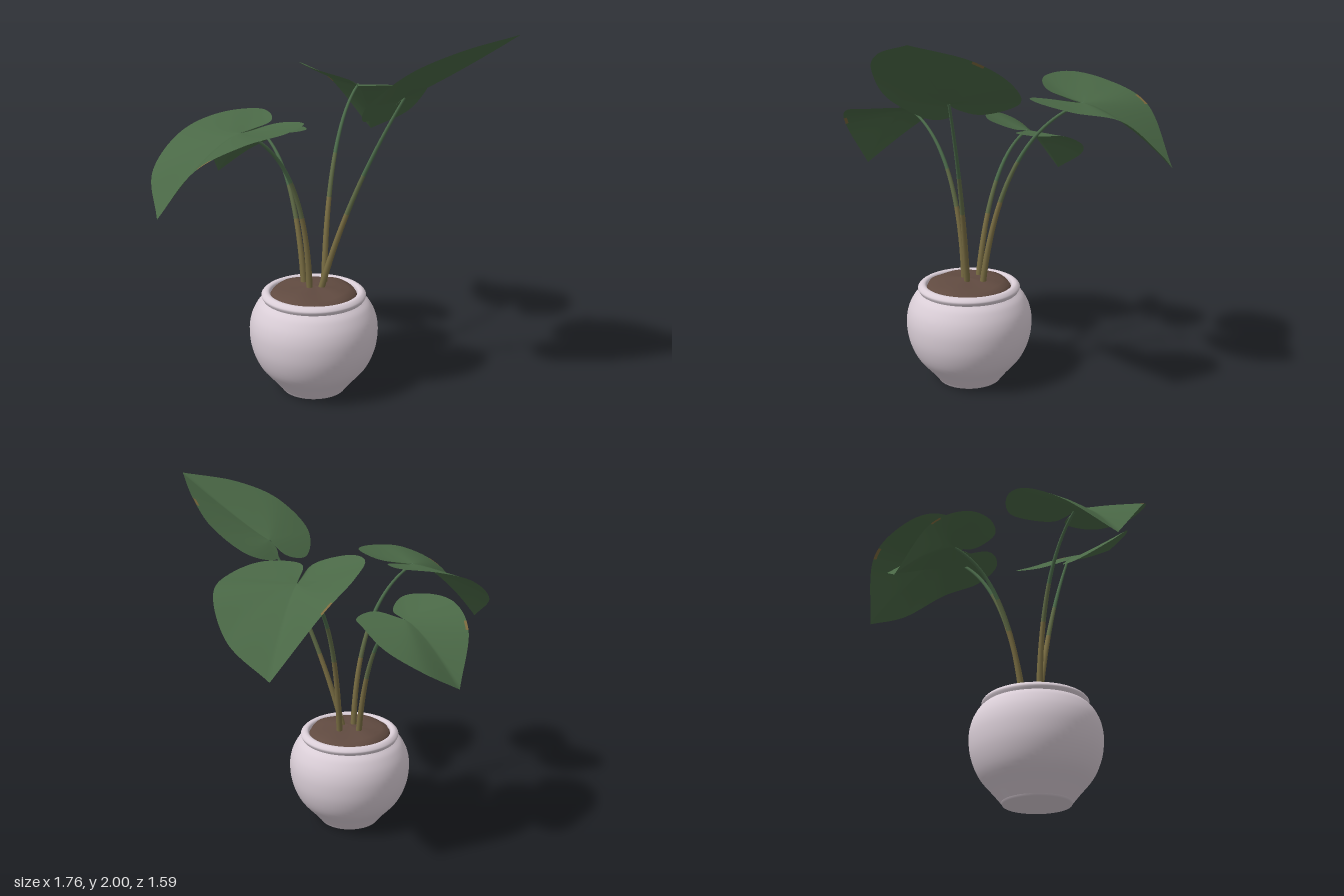
import * as THREE from 'three';

const mat = (name, color, side = THREE.FrontSide) => {
  const m = new THREE.MeshStandardMaterial({ color, side });
  m.name = name;
  return m;
};

// Each leaf: where the stem joins, compass heading of the midrib, tip [reach, height],
// then [reach, height] at five even angles from the tip round each lobe.
const PLANTS = [
  {
    name: 'backLeft', base: [0.03, 0.57, 0.13], lean: [0.06, 1.44, 0.03], at: [0.29, 1.61, -0.35],
    heading: -1.229, droop: 1.45, tip: [0.478, 1.26],
    right: [[0.44, 1.4], [0.415, 1.58], [0.385, 1.62], [0.355, 1.65], [0.275, 1.645]],
    left: [[0.42, 1.58], [0.355, 1.69], [0.34, 1.735], [0.295, 1.72], [0.19, 1.67]],
  },
  {
    name: 'backRight', base: [-0.08, 0.57, 0.12], lean: [-0.12, 1.27, 0.04], at: [-0.28, 1.37, -0.24],
    heading: -2.262, droop: 1.45, tip: [0.376, 1.08],
    right: [[0.355, 1.2], [0.315, 1.3], [0.268, 1.37], [0.255, 1.38], [0.19, 1.385]],
    left: [[0.33, 1.34], [0.285, 1.435], [0.255, 1.45], [0.22, 1.435], [0.11, 1.39]],
  },
  {
    name: 'frontRight', base: [-0.06, 0.57, 0.21], lean: [-0.08, 1.35, 0.23], at: [-0.43, 1.5, 0.41],
    heading: 2.737, droop: 1.5, tip: [0.457, 1.12],
    right: [[0.448, 1.3], [0.4, 1.465], [0.372, 1.54], [0.36, 1.56], [0.2, 1.535]],
    left: [[0.405, 1.4], [0.37, 1.515], [0.355, 1.55], [0.33, 1.565], [0.205, 1.54]],
  },
  {
    name: 'frontLeft', base: [0, 0.57, 0.21], lean: [0.14, 1.14, 0.27], at: [0.4, 1.66, 0.41],
    heading: 0.574, droop: 1.12, tip: [0.571, 2],
    right: [[0.415, 1.93], [0.37, 1.83], [0.345, 1.66], [0.215, 1.55], [0.1, 1.58]],
    left: [[0.415, 1.91], [0.38, 1.79], [0.345, 1.66], [0.17, 1.59], [0.05, 1.63]],
  },
];
const LOBE_STEP = THREE.MathUtils.degToRad(33.6);

const vec = (p) => new THREE.Vector3(...p);

// Leaf edge: one smooth curve per half, meeting in a point at the tip
function leafRim({ at, heading, tip, right, left }) {
  const half = (lobe, side) => {
    const points = [tip, ...lobe].map(([reach, y], k) => {
      const a = heading + side * k * LOBE_STEP;
      return new THREE.Vector3(at[0] + reach * Math.cos(a), y, at[2] + reach * Math.sin(a));
    });
    return new THREE.CatmullRomCurve3([...points, vec(at)], false, 'centripetal').getSpacedPoints(55);
  };
  return [...half(left, -1).reverse(), ...half(right, 1).slice(1)];
}

// Leaf blade: rings from the stem joint out to the edge, with a dry patch on the left half
function leafGeometry(plant) {
  const { at, heading, droop } = plant;
  const rim = leafRim(plant);
  const row = rim.length;
  const rings = [0, 0.12, 0.25, 0.4, 0.55, 0.7, 0.83, 0.955, 1];
  const pos = [], green = [], brown = [];
  for (const t of rings) {
    for (const p of rim) {
      pos.push(at[0] + (p.x - at[0]) * t,
        at[1] + (p.y - at[1]) * Math.pow(t, droop),
        at[2] + (p.z - at[2]) * t);
    }
  }
  for (let r = 0; r < rings.length - 1; r++) {
    for (let i = 0; i < row - 1; i++) {
      const a = r * row + i, b = a + 1, c = a + row, d = c + 1;
      const turn = Math.atan2(rim[i].z - at[2], rim[i].x - at[0]) - heading;
      const dry = r === rings.length - 2 && turn > -0.76 && turn < -0.6;
      const list = dry ? brown : green;
      if (r > 0) list.push(a, b, c);
      list.push(b, d, c);
    }
  }
  const g = new THREE.BufferGeometry();
  g.setAttribute('position', new THREE.Float32BufferAttribute(pos, 3));
  g.setIndex([...green, ...brown]);
  g.addGroup(0, green.length, 0);
  g.addGroup(green.length, brown.length, 1);
  g.computeVertexNormals();
  return g;
}

// Stem: tapered tube, coloured in three bands from base to leaf
function stemGeometry({ base, lean, at }) {
  const S = 40, R = 10;
  const curve = new THREE.QuadraticBezierCurve3(vec(base), vec(lean), vec(at));
  const g = new THREE.TubeGeometry(curve, S, 1, R);
  const p = g.attributes.position, v = new THREE.Vector3();
  for (let i = 0; i < p.count; i++) {
    const t = Math.floor(i / (R + 1)) / S;
    const c = curve.getPointAt(t);
    v.fromBufferAttribute(p, i).sub(c).multiplyScalar(0.018 - 0.011 * t).add(c);
    p.setXYZ(i, v.x, v.y, v.z);
  }
  const per = R * 6;
  [[0, 16], [16, 24], [24, S]].forEach(([a, b], k) => g.addGroup(a * per, (b - a) * per, k));
  return g;
}

export function createModel() {
  const model = new THREE.Group();
  model.name = 'pottedPlant';
  const ceramic = mat('pale ceramic', 0xd9cdd6);
  const earth = mat('soil brown', 0x604a40);
  const leafGreen = mat('leaf green', 0x4a6846, THREE.DoubleSide);
  const dryEdge = mat('dry leaf edge', 0x7d6a3e, THREE.DoubleSide);
  const stemMats = [mat('stem olive', 0x786c42), mat('stem moss', 0x5f6a46), mat('stem green', 0x4b6a4a)];
  const add = (name, geometry, material, parent = model) => {
    const m = new THREE.Mesh(geometry, material);
    m.name = name;
    parent.add(m);
  };
  const points2 = (list) => list.map((q) => new THREE.Vector2(...q));
  const smooth = (list) => new THREE.SplineCurve(points2(list)).getPoints(36);

  // Pot: flat foot, smooth belly, rounded rim with inner wall
  const pot = new THREE.Group();
  pot.name = 'pot';
  pot.position.set(-0.035, 0, 0.19);
  model.add(pot);
  const foot = points2([[0, 0], [0.178, 0], [0.185, 0.012]]);
  const belly = smooth([[0.185, 0.012], [0.225, 0.06], [0.3, 0.15], [0.342, 0.25], [0.354, 0.35],
    [0.342, 0.43], [0.31, 0.495], [0.278, 0.527]]);
  const rim = smooth([[0.278, 0.527], [0.287, 0.55], [0.265, 0.57], [0.24, 0.56], [0.234, 0.5]]);
  add('potFoot', new THREE.LatheGeometry(foot, 64), ceramic, pot);
  add('potBody', new THREE.LatheGeometry(belly, 64), ceramic, pot);
  add('potRim', new THREE.LatheGeometry(rim, 64), ceramic, pot);

  // Slightly uneven soil mound
  const mound = points2([[0.238, 0.545], [0.225, 0.567], [0.19, 0.58], [0.13, 0.592], [0, 0.592]]);
  const soil = new THREE.LatheGeometry(mound, 48);
  const sp = soil.attributes.position;
  for (let i = 0; i < sp.count; i++) {
    const x = sp.getX(i), z = sp.getZ(i);
    sp.setY(i, sp.getY(i) + 0.006 * Math.sin(x * 23 + 1) * Math.cos(z * 19));
  }
  soil.computeVertexNormals();
  add('soil', soil, earth, pot);

  // Stems and leaves
  for (const plant of PLANTS) {
    add(plant.name + 'Stem', stemGeometry(plant), stemMats);
    add(plant.name + 'Leaf', leafGeometry(plant), [leafGreen, dryEdge]);
  }
  return model;
}
